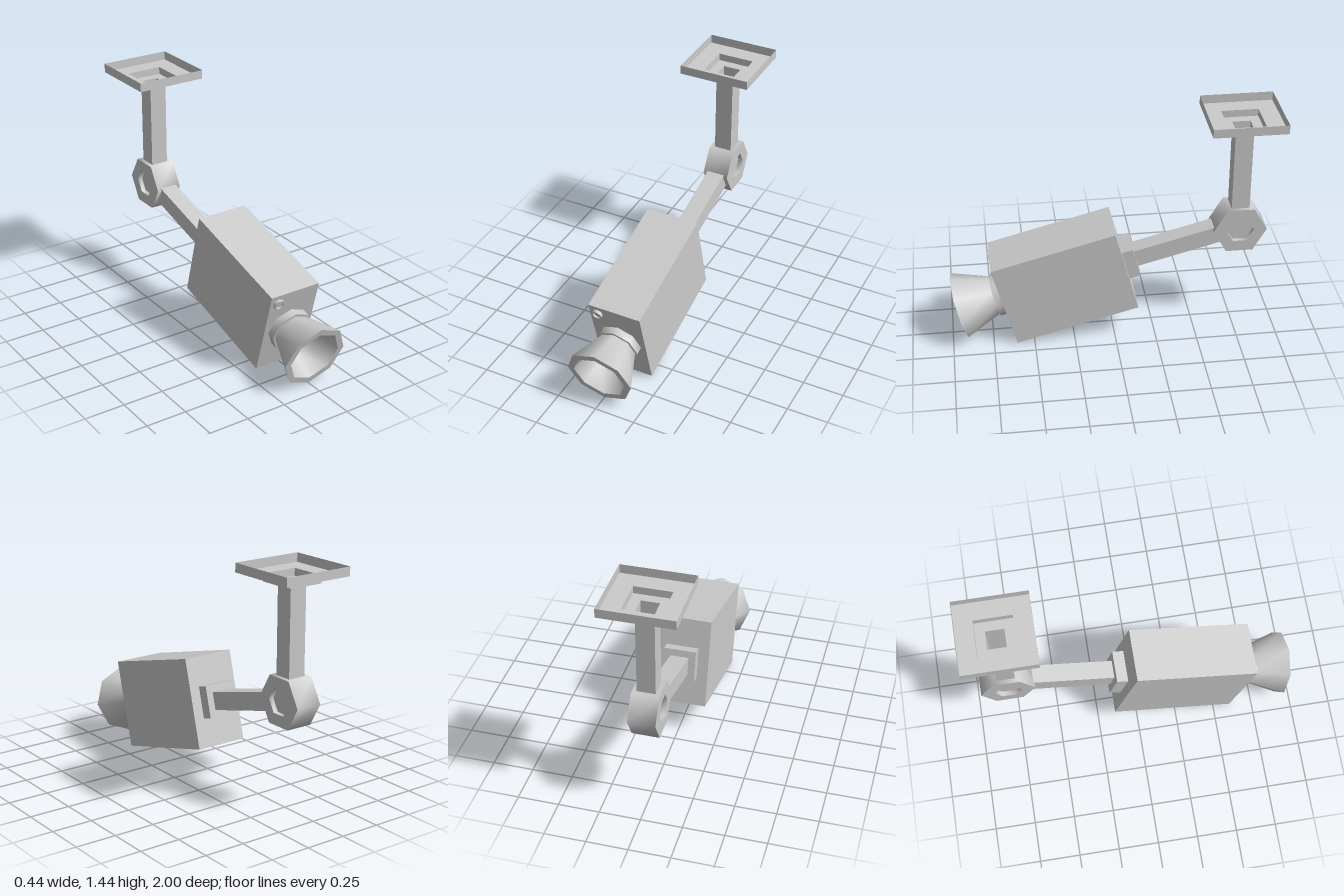
import * as THREE from 'three';
import { toCreasedNormals } from 'three/addons/utils/BufferGeometryUtils.js';

const smooth = new THREE.MeshStandardMaterial({ color: 0xcccccc, side: THREE.DoubleSide });
const flat = new THREE.MeshStandardMaterial({ color: 0xcccccc, side: THREE.DoubleSide, flatShading: true });

const TILT = THREE.MathUtils.degToRad(15);
const MOUNT_Z = -0.778;

// Few-sided turned part from [radius, height] pairs, with sharp rims and smooth sides
function turned(name, sides, profile) {
  const points = profile.map(([r, h]) => new THREE.Vector2(r, h));
  const geometry = toCreasedNormals(new THREE.LatheGeometry(points, sides), THREE.MathUtils.degToRad(65));
  const mesh = new THREE.Mesh(geometry, smooth);
  mesh.name = name;
  return mesh;
}

// Box running along z between two depths
function block(name, width, height, back, front) {
  const mesh = new THREE.Mesh(new THREE.BoxGeometry(width, height, front - back), flat);
  mesh.position.z = (back + front) / 2;
  mesh.name = name;
  return mesh;
}

export function createModel() {
  const model = new THREE.Group();
  model.name = 'securityCamera';

  // Hollow square ceiling plate, collar and pole, open at the top
  const steps = [[0.055, 0.78], [0.055, 1.345], [0.113, 1.345], [0.113, 1.39], [0.222, 1.39], [0.222, 1.445]];
  const mountGeometry = new THREE.LatheGeometry(
    steps.map(([half, y]) => new THREE.Vector2(half * Math.SQRT2, y)), 4, Math.PI / 4);
  const mount = new THREE.Mesh(mountGeometry, flat);
  mount.name = 'ceilingMount';
  mount.position.z = MOUNT_Z;
  model.add(mount);

  // Hexagonal swivel with a recess on each side
  const joint = turned('swivelJoint', 6, [
    [0, -0.052], [0.084, -0.052], [0.084, -0.082], [0.165, -0.082],
    [0.165, 0.082], [0.084, 0.082], [0.084, 0.052], [0, 0.052],
  ]);
  joint.rotation.z = Math.PI / 2;
  joint.position.set(0, 0.668, MOUNT_Z);
  model.add(joint);

  // Tilted head: housing, rear bracket and arm
  const head = new THREE.Group();
  head.name = 'cameraHead';
  head.position.set(0, 0.378, 0.303);
  head.rotation.x = TILT;
  head.add(
    block('housing', 0.333, 0.554, -0.389, 0.389),
    block('rearBracket', 0.2, 0.195, -0.46, -0.385),
    block('arm', 0.112, 0.11, -1.0, -0.455),
  );

  // Octagonal lens: flange, flared hood, hollow funnel and glass
  const lens = turned('lens', 8, [
    [0.135, 0.385], [0.135, 0.437], [0.12, 0.437], [0.208, 0.664],
    [0.167, 0.664], [0.118, 0.5], [0, 0.5],
  ]);
  lens.rotation.x = Math.PI / 2;
  head.add(lens);

  // Indicator light in a raised ring
  const light = turned('indicatorLight', 8, [
    [0.033, 0.385], [0.033, 0.408], [0.025, 0.408], [0.025, 0.397], [0, 0.397],
  ]);
  light.rotation.x = Math.PI / 2;
  light.position.set(-0.113, 0.22, 0);
  head.add(light);

  model.add(head);
  return model;
}
